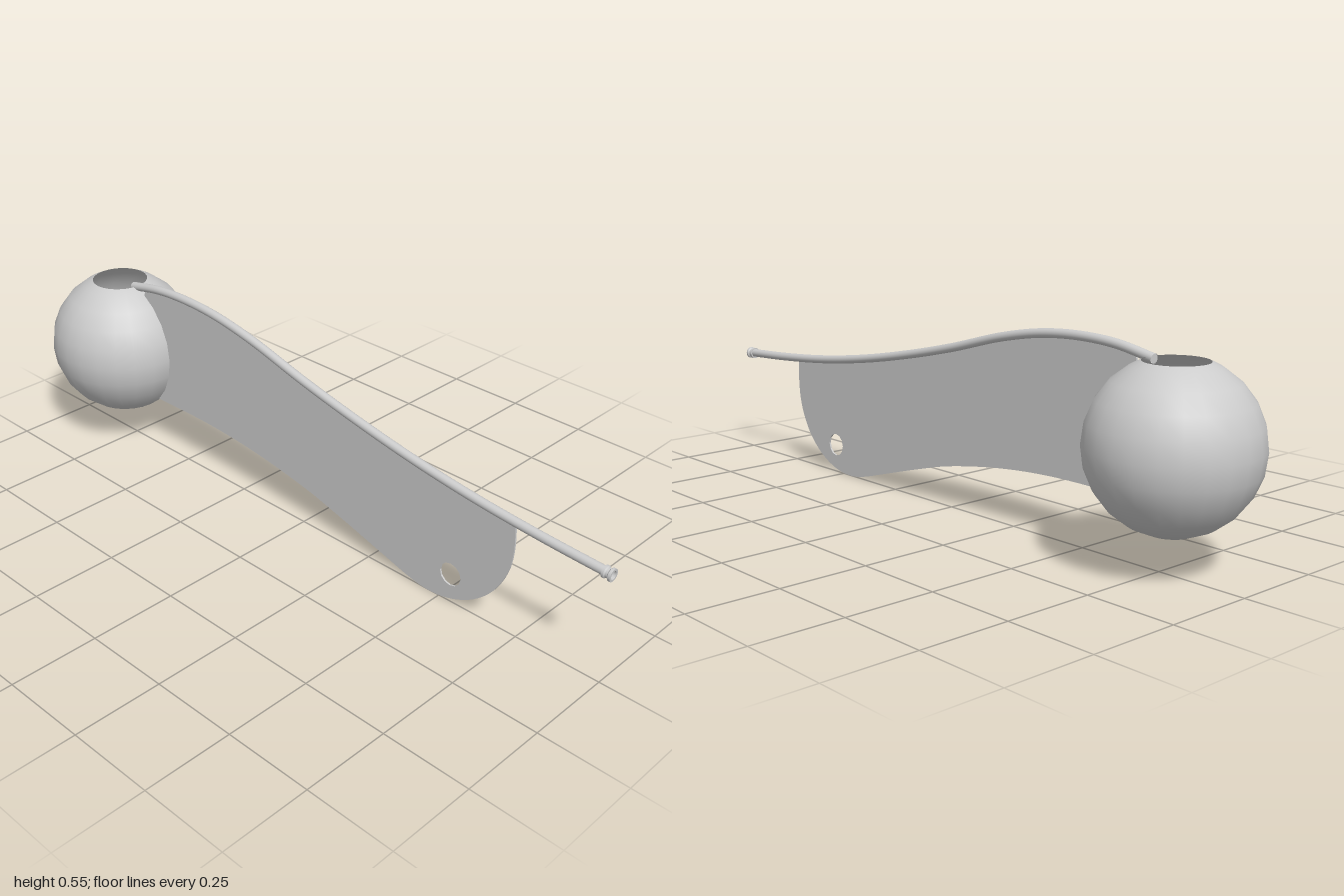
import * as THREE from 'three';

const vec = (x, y) => new THREE.Vector2(x, y);

export function createModel() {
  const model = new THREE.Group();
  const grey = new THREE.MeshStandardMaterial({ color: 0xcccccc, side: THREE.DoubleSide });
  const add = (name, geometry) => {
    const mesh = new THREE.Mesh(geometry, grey);
    mesh.name = name;
    model.add(mesh);
    return mesh;
  };

  // Hollow ball, cut open at the top
  const R = 0.218, cx = -0.782, cy = 0.315;
  const profile = [];
  for (let a = 0; a <= 150; a += 15) {
    const t = THREE.MathUtils.degToRad(a);
    profile.push(vec(R * Math.sin(t), -R * Math.cos(t)));
  }
  profile.push(vec(0.082, 0.202));
  add('ball', new THREE.LatheGeometry(profile, 24)).position.set(cx, cy, 0);

  // Curved rod along the upper edge
  const railPoints = [
    [-0.715, 0.513], [-0.6, 0.534], [-0.48, 0.54], [-0.35, 0.532], [-0.2, 0.505], [0, 0.452],
    [0.2, 0.407], [0.4, 0.37], [0.6, 0.343], [0.8, 0.326], [0.985, 0.316],
  ];
  const path = new THREE.CatmullRomCurve3(railPoints.map(([x, y]) => new THREE.Vector3(x, y, 0)));
  add('rod', new THREE.TubeGeometry(path, 80, 0.0125, 16));
  const cap = add('rodEndCap', new THREE.CircleGeometry(0.0125, 16));
  cap.position.set(-0.715, 0.513, 0);
  cap.rotation.y = -Math.PI / 2;

  // Flanged collar with a shallow bore at the free end
  const collar = [[0.0125, 0], [0.0165, 0], [0.0165, 0.006], [0.0135, 0.009], [0.0135, 0.015],
    [0.0175, 0.018], [0.0175, 0.025], [0.0115, 0.025], [0.0115, 0.012], [0, 0.012]];
  // Repeated corners keep the edges crisp
  const collarProfile = collar.flatMap(([r, y], i) =>
    i === 0 || i === collar.length - 1 ? [vec(r, y)] : [vec(r, y), vec(r, y)]);
  const end = add('rodCollar', new THREE.LatheGeometry(collarProfile, 20));
  end.rotation.z = -Math.PI / 2 - 0.04;
  end.position.set(0.975, 0.316, 0);

  // Thin blade hanging below the rod
  const blade = new THREE.Shape();
  blade.moveTo(-0.626, 0.165);
  blade.splineThru([vec(-0.4, 0.165), vec(-0.2, 0.15), vec(0, 0.118), vec(0.15, 0.08),
    vec(0.3, 0.037), vec(0.4, 0.009), vec(0.47, 0), vec(0.54, 0.011), vec(0.61, 0.044),
    vec(0.67, 0.1), vec(0.71, 0.175), vec(0.724, 0.25), vec(0.722, 0.332)]);
  // Upper edge follows the rod's centre line back to the ball
  for (const p of path.getPoints(80).reverse()) {
    if (p.x < 0.715 && p.x > -0.67) blade.lineTo(p.x, p.y);
  }
  // Inner edge follows the ball
  for (let i = 0; i <= 10; i++) {
    const a = 1.0 - i * 0.17;
    blade.lineTo(cx + (R - 0.004) * Math.cos(a), cy + (R - 0.004) * Math.sin(a));
  }
  const hole = new THREE.Path();
  hole.absarc(0.535, 0.085, 0.034, 0, Math.PI * 2, true);
  blade.holes.push(hole);
  const bladeGeometry = new THREE.ExtrudeGeometry(blade, { depth: 0.005, bevelEnabled: false, curveSegments: 6 });
  bladeGeometry.translate(0, 0, -0.0025);
  add('blade', bladeGeometry);

  return model;
}
